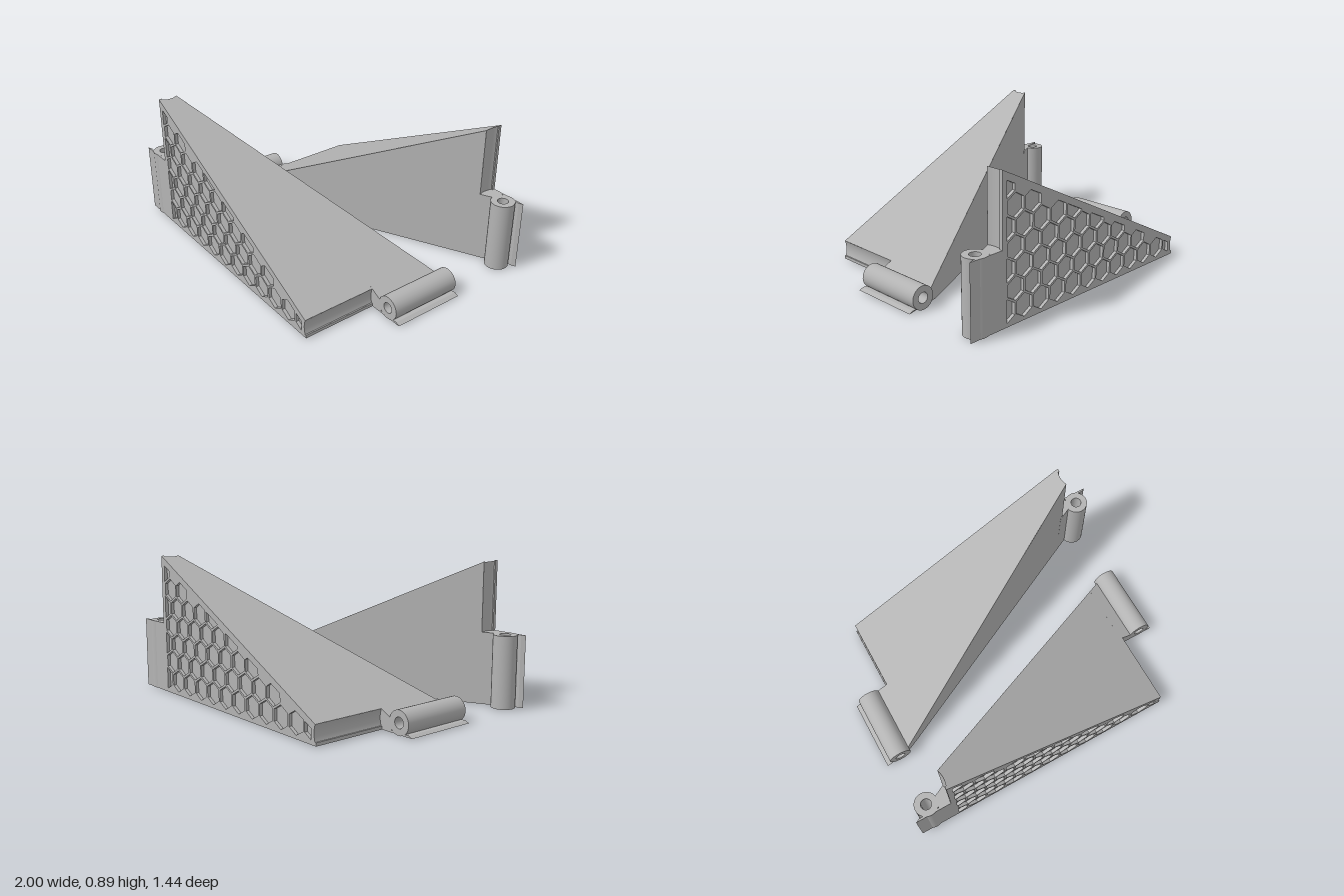
import * as THREE from 'three';
import { mergeGeometries } from 'three/addons/utils/BufferGeometryUtils.js';

const K = 0.497;                        // slope of both tapers
const AX = 0.9, AY = 0.067;             // hinge axis
const R_OUT = 0.073, R_IN = 0.033, R_BORE = 0.055, R_CUT = 0.147;
const V_MAX = 0.118, DEPTH = 0.02;
const height = x => K * (1 - x);
const width = x => K * (1 + x);
const arcX = v => AX - Math.sqrt(R_CUT ** 2 - (v - AY) ** 2);
const END = arcX(0);

const arc = Array.from({ length: 13 }, (_, i) => {
  const v = V_MAX * i / 12;
  return [arcX(v), v];
});
const toShape = pts => new THREE.Shape(pts.map(p => new THREE.Vector2(...p)));

// Keeps the part of a polygon where f(p) >= 0
function clip(pts, f) {
  const out = [];
  pts.forEach((a, i) => {
    const b = pts[(i + 1) % pts.length], fa = f(a), fb = f(b);
    if (fa >= 0) out.push(a);
    if (fa * fb < 0) {
      const t = fa / (fa - fb);
      out.push([a[0] + (b[0] - a[0]) * t, a[1] + (b[1] - a[1]) * t]);
    }
  });
  return out;
}

// Honeycomb cells trimmed to the margin of the triangular panel
function honeycomb() {
  const cells = [];
  for (let row = 0; row < 7; row++) {
    for (let i = 0; i < 12; i++) {
      const cx = -0.738 + 0.134 * (i + (row % 2) / 2), cy = 0.091 + 0.116 * row;
      if (cy > height(cx) - 0.035) continue;
      let pts = Array.from({ length: 6 }, (_, j) => {
        const a = Math.PI / 6 + j * Math.PI / 3;
        return [cx + 0.0697 * Math.cos(a), cy + 0.0697 * Math.sin(a)];
      });
      pts = clip(pts, p => p[0] + 0.737);
      pts = clip(pts, p => 0.727 - p[0]);
      pts = clip(pts, p => height(p[0]) - 0.045 - p[1]);
      if (pts.length > 2) cells.push(pts);
    }
  }
  return cells;
}

// Moves every vertex by a rule and refreshes the normals
function warp(geo, rule) {
  const p = geo.attributes.position;
  for (let i = 0; i < p.count; i++) p.setXYZ(i, ...rule(p.getX(i), p.getY(i), p.getZ(i)));
  geo.computeVertexNormals();
  return geo;
}

// Hollow hinge barrel along -z, from w0 to w1, optionally counterbored at w0
function barrelGeometry(w0, w1, bored) {
  const profile = bored
    ? [[R_OUT, w0], [R_OUT, w1], [R_IN, w1], [R_IN, w0 + 0.03], [R_BORE, w0 + 0.03], [R_BORE, w0], [R_OUT, w0]]
    : [[R_OUT, w0], [R_OUT, w1], [R_IN, w1], [R_IN, w0], [R_OUT, w0]];
  const parts = profile.slice(1).map((b, i) =>
    new THREE.LatheGeometry([new THREE.Vector2(...profile[i]), new THREE.Vector2(...b)], 36));
  return mergeGeometries(parts).rotateX(-Math.PI / 2).translate(AX, AY, 0);
}

// Half of a wedge: honeycomb panel, sloping face, concave end and hinge
function createHalf(mat, w0, w1, bored) {
  const half = new THREE.Group();
  const add = (name, geo) => {
    const mesh = new THREE.Mesh(geo, mat);
    mesh.name = name;
    half.add(mesh);
  };

  const outline = [[-END, 0], ...arc, [-END, height(-END)]];
  const panel = toShape(outline);
  honeycomb().forEach(c => panel.holes.push(new THREE.Path(c.map(p => new THREE.Vector2(...p)))));
  add('honeycombPanel', new THREE.ExtrudeGeometry(panel, { depth: DEPTH, bevelEnabled: false })
    .translate(0, 0, -DEPTH));
  add('pocketFloor', new THREE.ShapeGeometry(toShape(outline)).translate(0, 0, -DEPTH));

  const xr = arcX(V_MAX);
  const top = toShape([[xr, 0], [xr, width(xr)], ...arc.map(([x, v]) => [-x, v]).reverse()]);
  add('slopingFace', warp(new THREE.ShapeGeometry(top), (x, w) => [x, height(x), -w]));

  add('concaveEnd', warp(new THREE.PlaneGeometry(1, 1, 1, 12), (s, t) => {
    const v = (t + 0.5) * V_MAX, x = arcX(v);
    return [x, v, -(0.5 - s) * width(x)];
  }));

  // Tapered leaf joining the hinge barrel to the wedge
  const leaf = toShape([[1, 0], [0.745, 0], [0.745, 0.127], [0.845, 0.077], [0.845, 0.012], [0.975, 0.012]]);
  const leafGeo = new THREE.ExtrudeGeometry(leaf, { depth: w1 - w0, bevelEnabled: false })
    .translate(0, 0, -w1);
  add('hingeLeaf', warp(leafGeo, (x, y, z) => [x, y, Math.max(z, -width(x))]));
  add('hingeBarrel', barrelGeometry(w0, w1, bored));
  return half;
}

function createWedge(mat) {
  const wedge = new THREE.Group();
  const front = createHalf(mat, 0.474, 0.934, false);
  front.name = 'frontHalf';
  // The base repeats the front, turned half way about the diagonal
  const base = createHalf(mat, 0, 0.447, true);
  base.name = 'baseHalf';
  base.quaternion.setFromAxisAngle(new THREE.Vector3(0, 1, -1).normalize(), Math.PI);
  wedge.add(front, base);
  wedge.position.set(0, 0.006, 0.714);
  return wedge;
}

export function createModel() {
  const model = new THREE.Group();
  model.name = 'hingedWedges';
  const grey = new THREE.MeshStandardMaterial({ color: 0xb3b3b3, side: THREE.DoubleSide });
  grey.name = 'grey';
  ['frontWedge', 'backWedge'].forEach((name, i) => {
    const side = new THREE.Group();
    side.name = name;
    side.add(createWedge(grey));
    side.rotation.y = i * Math.PI;
    model.add(side);
  });
  return model;
}
